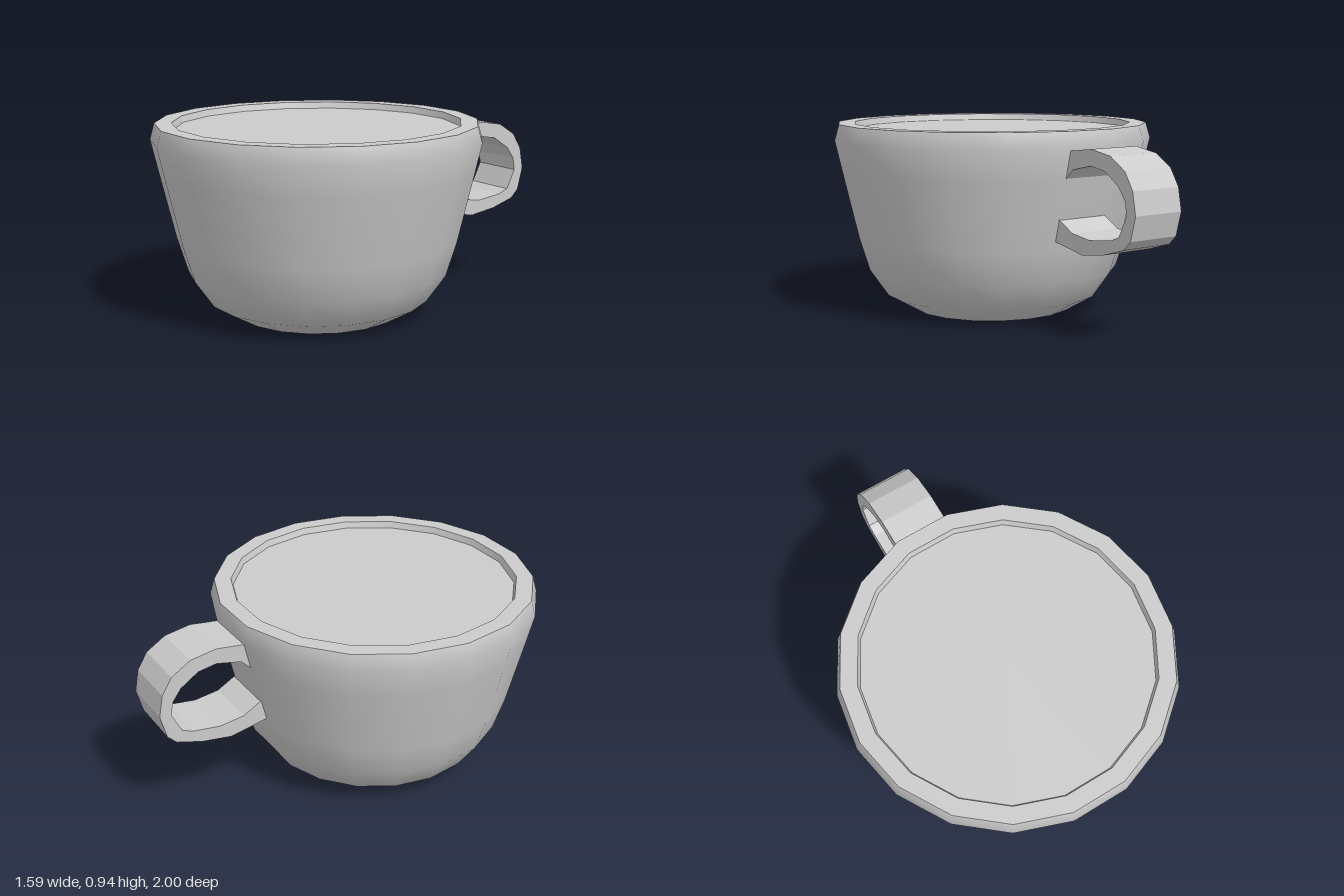
import * as THREE from 'three';

const SIDES = 18;
const CUP_Z = 0.213;

export function createModel() {
  const model = new THREE.Group();
  const material = new THREE.MeshStandardMaterial({ color: 0xcccccc });

  const add = (name, geometry, z = 0) => {
    const mesh = new THREE.Mesh(geometry, material);
    mesh.name = name;
    mesh.position.z = z;
    model.add(mesh);
  };
  // Turned sections; the half-step start puts a flat side at front and back
  const turned = (name, profile) => {
    const points = profile.map(([r, y]) => new THREE.Vector2(r, y));
    add(name, new THREE.LatheGeometry(points, SIDES, Math.PI / SIDES, Math.PI * 2), CUP_Z);
  };

  // Cup: separate sections keep the rim and base edges sharp
  turned('base', [[0, 0], [0.4, 0]]);
  turned('outerWall', [
    [0.4, 0], [0.54, 0.08], [0.632, 0.212], [0.683, 0.378],
    [0.762, 0.715], [0.795, 0.86], [0.773, 0.937],
  ]);
  turned('rim', [[0.773, 0.937], [0.692, 0.937]]);
  turned('innerWall', [[0.692, 0.937], [0.682, 0.905]]);
  turned('drinkSurface', [[0.682, 0.905], [0, 0.905]]);

  // Handle outline as [distance behind centre, height]; ends sink into the wall
  const outer = [
    [0.53, 0.84], [0.575, 0.852], [0.707, 0.868], [0.835, 0.846], [0.93, 0.787],
    [0.98, 0.707], [1, 0.6], [0.97, 0.487], [0.927, 0.445], [0.8, 0.407],
    [0.653, 0.386], [0.466, 0.423], [0.44, 0.432],
  ];
  const inner = [
    [0.46, 0.545], [0.498, 0.525], [0.584, 0.477], [0.707, 0.46], [0.84, 0.477],
    [0.895, 0.498], [0.943, 0.595], [0.932, 0.659], [0.889, 0.718], [0.8, 0.777],
    [0.707, 0.793], [0.584, 0.766], [0.535, 0.718], [0.51, 0.69],
  ];
  const outline = [...outer, ...inner].map(([s, y]) => new THREE.Vector2(s, y));
  const width = 0.272;
  const handle = new THREE.ExtrudeGeometry(new THREE.Shape(outline), {
    depth: width, bevelEnabled: false,
  });
  handle.translate(0, 0, -width / 2).rotateY(Math.PI / 2);
  add('handle', handle);

  return model;
}
